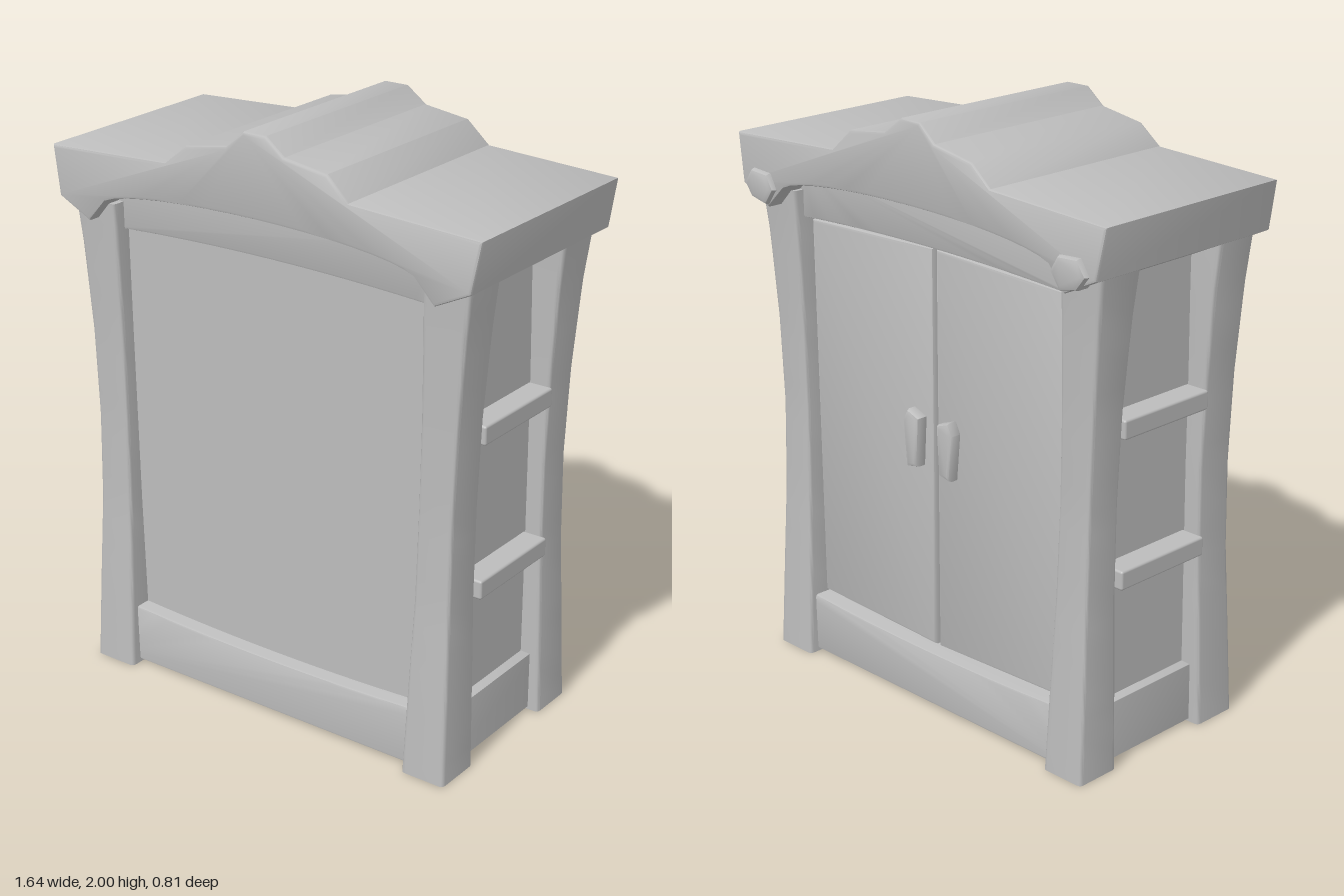
import * as THREE from 'three';
import { toCreasedNormals } from 'three/addons/utils/BufferGeometryUtils.js';
import { RoundedBoxGeometry } from 'three/addons/geometries/RoundedBoxGeometry.js';

const grey = new THREE.MeshStandardMaterial({ color: 0xbcbcbc });
grey.name = 'plain grey';

// Piecewise-linear lookup in rows of [y, a, b, c, ...]
function sample(rows, y) {
  let i = 0;
  while (i < rows.length - 2 && y > rows[i + 1][0]) i++;
  const t = (y - rows[i][0]) / (rows[i + 1][0] - rows[i][0]);
  return rows[i].map((v, k) => v + (rows[i + 1][k] - v) * t);
}

// Height, inner x, outer x, inner z, outer z of a post
const FRONT = [
  [0, 0.565, 0.725, 0.215, 0.385], [0.3, 0.572, 0.718, 0.21, 0.368],
  [0.6, 0.58, 0.71, 0.205, 0.35], [0.9, 0.585, 0.71, 0.2, 0.343],
  [1.2, 0.59, 0.722, 0.2, 0.343], [1.5, 0.594, 0.745, 0.195, 0.35], [1.66, 0.595, 0.765, 0.195, 0.355],
];
const BACK = [
  [0, 0.565, 0.725, 0.185, 0.35], [0.3, 0.572, 0.718, 0.185, 0.335],
  [0.6, 0.58, 0.71, 0.185, 0.32], [0.9, 0.585, 0.71, 0.183, 0.312],
  [1.2, 0.59, 0.722, 0.18, 0.315], [1.5, 0.594, 0.745, 0.17, 0.325], [1.66, 0.595, 0.765, 0.163, 0.335],
];

// Flared post: a rounded square swept upward and stretched to the table
function postGeometry(rows, sx, sz) {
  const r = 0.09, s = new THREE.Shape();
  s.moveTo(r, 0).lineTo(1 - r, 0).quadraticCurveTo(1, 0, 1, r).lineTo(1, 1 - r)
    .quadraticCurveTo(1, 1, 1 - r, 1).lineTo(r, 1).quadraticCurveTo(0, 1, 0, 1 - r)
    .lineTo(0, r).quadraticCurveTo(0, 0, r, 0);
  const geo = new THREE.ExtrudeGeometry(s, { depth: 1, steps: 22, bevelEnabled: false, curveSegments: 3 });
  const p = geo.attributes.position;
  for (let i = 0; i < p.count; i++) {
    const y = p.getZ(i) * 1.66;
    const [, xi, xo, zi, zo] = sample(rows, y);
    const x0 = sx > 0 ? xi : -xo, z1 = sz > 0 ? zo : -zi;
    p.setXYZ(i, x0 + p.getX(i) * (xo - xi), y, z1 - p.getY(i) * (zo - zi));
  }
  return toCreasedNormals(geo, 0.7);
}

// Bevelled plate from an outline in x and y, filling z0 to z1
function plate(shape, z0, z1, bevel = 0.008) {
  const geo = new THREE.ExtrudeGeometry(shape, {
    depth: z1 - z0 - 2 * bevel, bevelSize: bevel, bevelThickness: bevel,
    bevelOffset: -bevel, bevelSegments: 2, curveSegments: 16,
  });
  geo.translate(0, 0, z0 + bevel);
  return toCreasedNormals(geo, 0.6);
}

export function createModel() {
  const group = new THREE.Group();
  group.name = 'wardrobe';
  const add = (name, geo, x = 0, y = 0, z = 0) => {
    const mesh = new THREE.Mesh(geo, grey);
    mesh.name = name;
    mesh.position.set(x, y, z);
    group.add(mesh);
    return mesh;
  };

  // Recessed cabinet body
  add('cabinetBody', new THREE.BoxGeometry(1.3, 1.74, 0.53), 0, 0.89, 0.025);

  // Plinth with a gently sagging top edge
  const base = new THREE.Shape();
  base.moveTo(-0.685, 0.01).lineTo(0.685, 0.01).lineTo(0.685, 0.21).lineTo(0.57, 0.215)
    .quadraticCurveTo(0, 0.182, -0.57, 0.215).lineTo(-0.685, 0.21);
  add('plinth', plate(base, -0.315, 0.345));

  // Arched friezes above the panel and the doors
  const frieze = new THREE.Shape();
  frieze.moveTo(-0.62, 1.565).quadraticCurveTo(0, 1.605, 0.62, 1.565)
    .lineTo(0.62, 1.76).lineTo(-0.62, 1.76);
  add('frontFrieze', plate(frieze, 0.25, 0.31));
  add('backFrieze', plate(frieze, -0.295, -0.2));

  // Four corner posts
  for (const side of [1, -1]) {
    const label = side > 0 ? 'left' : 'right';
    add(label + 'FrontPost', postGeometry(FRONT, side, 1));
    add(label + 'BackPost', postGeometry(BACK, side, -1));

    // Side shelves
    const heights = side > 0 ? [0.622, 1.145] : [0.65, 1.145];
    for (const y of heights) {
      add(label + 'Shelf', new RoundedBoxGeometry(0.12, 0.065, 0.385, 2, 0.008), side * 0.672, y, 0.01);
    }

    // Door with a tapered handle
    const door = new THREE.Shape();
    door.moveTo(side * 0.008, 0.207).lineTo(side * 0.565, 0.225)
      .lineTo(side * 0.583, 1.558).lineTo(side * 0.008, 1.576);
    add(label + 'Door', plate(door, -0.272, -0.22, 0.01));
    const handle = new THREE.Shape();
    handle.moveTo(side * 0.05, 0.84).lineTo(side * 0.1, 0.83).lineTo(side * 0.115, 0.99)
      .lineTo(side * 0.095, 1.03).lineTo(side * 0.04, 1.01);
    add(label + 'Handle', plate(handle, -0.312, -0.26, 0.014));

    // Faceted boss on the back corner of the crown
    const boss = new THREE.Shape();
    boss.moveTo(side * 0.62, 1.67).lineTo(side * 0.66, 1.615).lineTo(side * 0.73, 1.63)
      .lineTo(side * 0.765, 1.675).lineTo(side * 0.73, 1.725).lineTo(side * 0.65, 1.72);
    add(label + 'Boss', plate(boss, -0.407, -0.34, 0.016));
  }

  // Crown with stepped crest and arched underside
  const crown = new THREE.Shape();
  const outline = [
    [-0.6, 1.68], [-0.665, 1.605], [-0.79, 1.665], [-0.82, 1.83], [-0.35, 1.852], [-0.27, 1.917],
    [-0.11, 1.945], [-0.045, 2], [0.04, 2], [0.11, 1.947], [0.27, 1.925], [0.35, 1.852],
    [0.82, 1.83], [0.79, 1.665], [0.665, 1.605], [0.59, 1.68],
  ];
  crown.moveTo(...outline[0]);
  outline.slice(1).forEach((q) => crown.lineTo(...q));
  crown.bezierCurveTo(0.45, 1.755, -0.45, 1.755, -0.6, 1.68);
  const crownGeo = plate(crown, -0.39, 0.4, 0.01);
  const p = crownGeo.attributes.position;
  for (let i = 0; i < p.count; i++) {
    // Front and back lean inward toward the top
    p.setZ(i, p.getZ(i) * (1 - 0.13 * Math.max(0, p.getY(i) - 1.62)));
  }
  add('crown', toCreasedNormals(crownGeo, 0.6));

  return group;
}
